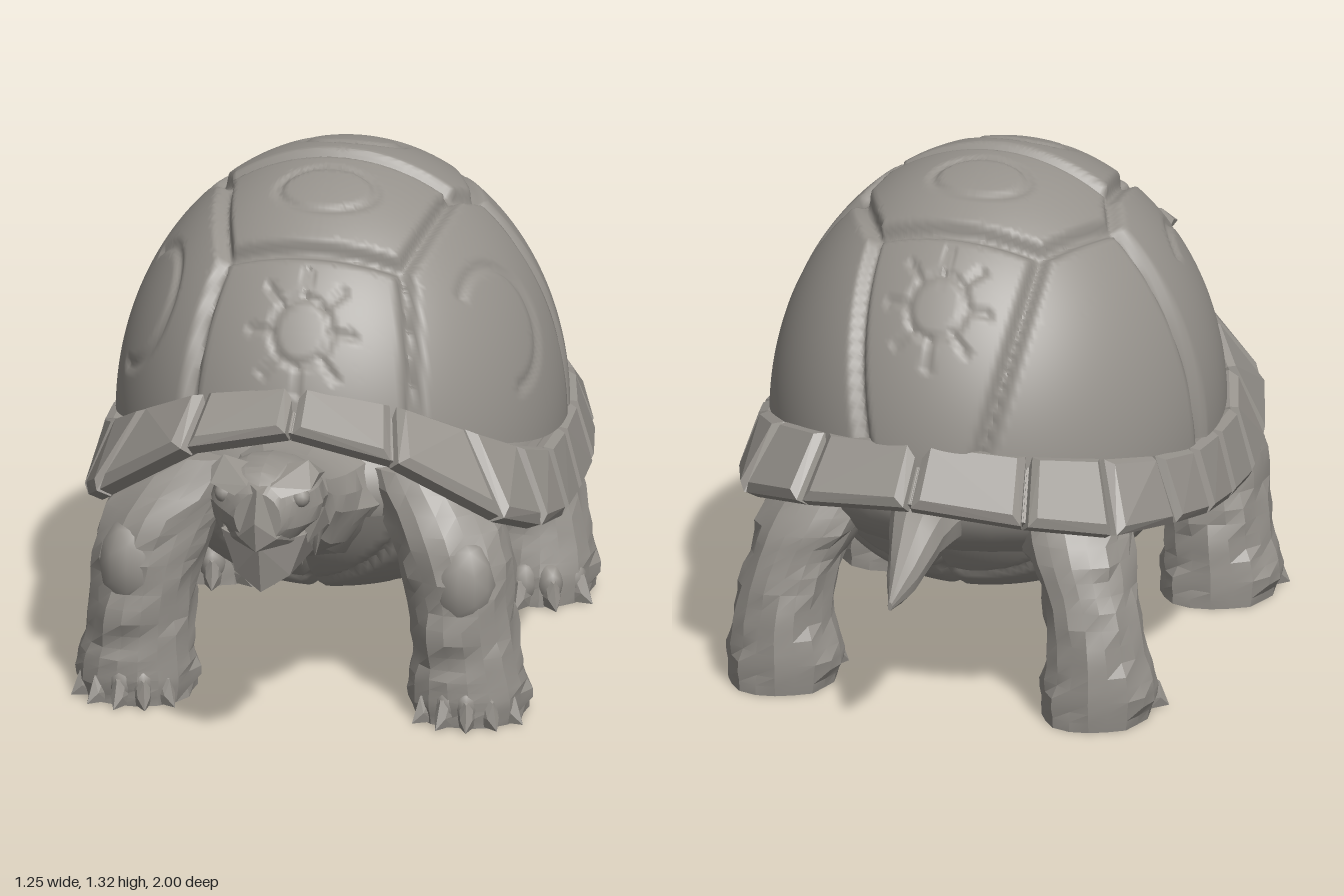
import * as THREE from 'three';
import { toCreasedNormals } from 'three/addons/utils/BufferGeometryUtils.js';
import { ConvexGeometry } from 'three/addons/geometries/ConvexGeometry.js';
import { ParametricGeometry } from 'three/addons/geometries/ParametricGeometry.js';

const stone = new THREE.MeshStandardMaterial({ color: 0x96928c });
stone.name = 'stone grey';
const V = (x, y, z) => new THREE.Vector3(x, y, z);
const { sin, cos, PI, abs, sqrt } = Math;
const smooth = THREE.MathUtils.smoothstep;
const hash = (a, b) => { const s = sin(a * 127.1 + b * 311.7) * 43758.5453; return s - Math.floor(s); };

export function createModel() {
  const model = new THREE.Group();
  model.name = 'tortoise';

  const add = (name, geometry, parent = model) => {
    const mesh = new THREE.Mesh(geometry, stone);
    mesh.name = name;
    parent.add(mesh);
    return mesh;
  };
  const group = (name, parent = model) => {
    const g = new THREE.Group();
    g.name = name;
    parent.add(g);
    return g;
  };
  const surface = (f, nu, nv) => toCreasedNormals(new ParametricGeometry(f, nu, nv), 1.3);
  const convex = (name, pts, parent) => add(name, new ConvexGeometry(pts.map(p => V(...p))), parent);
  // Adds the mirrored twin of every point that is off the centre line
  const bothSides = pts => pts.flatMap(([x, y, z]) => x ? [[x, y, z], [-x, y, z]] : [[x, y, z]]);

  // Rough tube through sections [x, y, z, r1, r2], listed in ascending order along the axis
  const loft = (sections, axis, rough = 0.06, n = 18) => {
    const mid = new THREE.CatmullRomCurve3(sections.map(s => V(s[0], s[1], s[2])));
    const rad = new THREE.CatmullRomCurve3(sections.map(s => V(s[3], s[4], 0)));
    const rows = (sections.length - 1) * 3, pos = [], idx = [];
    for (let i = 0; i <= rows; i++) {
      const c = mid.getPoint(i / rows), r = rad.getPoint(i / rows);
      for (let j = 0; j < n; j++) {
        const a = j / n * 2 * PI;
        const k = 1 + rough * (hash(j, Math.floor(i / 2)) + hash(i, j) * 0.5 - 0.75);
        const p = r.x * k * cos(a), q = r.y * k * sin(a);
        if (axis === 'y') pos.push(c.x + p, c.y, c.z + q);
        else pos.push(c.x + p, c.y + q, c.z);
      }
    }
    const tri = (a, b, c) => axis === 'y' ? idx.push(a, c, b) : idx.push(a, b, c);
    for (let i = 0; i < rows; i++) for (let j = 0; j < n; j++) {
      const a = i * n + j, b = i * n + (j + 1) % n;
      tri(a, b, a + n);
      tri(b, b + n, a + n);
    }
    const first = sections[0], last = sections[sections.length - 1], e = pos.length / 3;
    pos.push(first[0], first[1], first[2], last[0], last[1], last[2]);
    for (let j = 0; j < n; j++) {
      const k = (j + 1) % n;
      tri(e, k, j);
      tri(e + 1, rows * n + j, rows * n + k);
    }
    const g = new THREE.BufferGeometry();
    g.setAttribute('position', new THREE.Float32BufferAttribute(pos, 3));
    g.setIndex(idx);
    return toCreasedNormals(g, 0.3);
  };

  // Domed shell: an ellipsoid divided into eight scutes by grooves, with shallow carvings
  const aim = (azimuth, up) => V(cos(up) * sin(azimuth), sin(up), cos(up) * cos(azimuth));
  const scutes = [
    { c: aim(0, 0.59), mark: 'sun' }, { c: aim(0, 1.255), mark: 'ring' },
    { c: aim(PI, 1.35), mark: 'ring' }, { c: aim(PI, 0.7), mark: 'sun' },
    ...[1, -1].flatMap(s => [{ c: aim(s * 1.15, 0.49), mark: 'crescent' }, { c: aim(s * 2.29, 0.42), mark: 'none' }]),
  ];
  const relief = d => {
    const near = scutes.map(s => ({ ...s, dot: s.c.dot(d) })).sort((a, b) => b.dot - a.dot);
    const [s, t] = near;
    const edge = (s.dot - t.dot) / s.c.distanceTo(t.c);
    let h = 0.008 - 0.05 * (1 - smooth(edge, 0, 0.055));
    const side = V(0, 1, 0).cross(s.c).normalize(), up = s.c.clone().cross(side);
    const x = d.dot(side), y = d.dot(up), r = sqrt(x * x + y * y), a = Math.atan2(y, x);
    const line = (v, w) => 1 - smooth(abs(v), 0, w);
    if (s.mark === 'sun') {
      h -= 0.012 * line(r - 0.13, 0.03);
      if (r > 0.13 && r < 0.25) h -= 0.012 * smooth(abs(cos(a * 4)), 0.9, 1);
    }
    if (s.mark === 'ring') h -= 0.012 * line(sqrt(x * x * 0.6 + y * y * 1.6) - 0.17, 0.03);
    if (s.mark === 'crescent' && a > -1.6 && a < 2.4) h -= 0.016 * line(r - 0.24, 0.035);
    return h;
  };
  const lowEdge = az => cos(az) ** 2 * (cos(az) > 0 ? 0.26 : 0.09);
  const onDome = (p, d, k) => p.set(0.57 * d.x * k, 0.62 + 0.69 * d.y * k, -0.13 + 0.64 * d.z * k);
  add('shellDome', surface((u, v, p) => {
    const d = aim(u * 2 * PI, PI / 2 - (1 - v) * (PI / 2 - lowEdge(u * 2 * PI)));
    onDome(p, d, 1 + relief(d));
  }, 264, 90));
  // Floor that closes the dome behind the rim
  add('shellUnderside', surface((u, v, p) => {
    onDome(p, aim(u * 2 * PI, lowEdge(u * 2 * PI)), 1.02);
    p.x *= 0.5 + 0.5 * v;
    p.z *= 0.5 + 0.5 * v;
  }, 64, 2));

  // Rim plates between stations: outer edge point, then inner edge point
  const stations = [
    [[0, 0.78, 0.56], [0, 0.86, 0.45]], [[0.27, 0.72, 0.555], [0.24, 0.82, 0.42]],
    [[0.52, 0.54, 0.42], [0.4, 0.74, 0.33]], [[0.58, 0.46, 0.23], [0.5, 0.66, 0.2]],
    [[0.6, 0.43, 0.06], [0.55, 0.61, 0.06]], [[0.6, 0.43, -0.1], [0.555, 0.61, -0.1]],
    [[0.6, 0.45, -0.27], [0.55, 0.62, -0.27]], [[0.57, 0.48, -0.44], [0.51, 0.65, -0.43]],
    [[0.49, 0.52, -0.68], [0.42, 0.68, -0.57]], [[0.3, 0.57, -0.82], [0.27, 0.71, -0.69]],
    [[0, 0.6, -0.86], [0, 0.73, -0.74]],
  ];
  const rim = group('shellRim');
  for (const s of [1, -1]) for (let i = 0; i < stations.length - 1; i++) {
    const [a, ai, b, bi] = [...stations[i], ...stations[i + 1]].map(p => V(p[0] * s, p[1], p[2]));
    const n = b.clone().sub(a).cross(ai.clone().sub(a)).normalize();
    if (n.dot(V(a.x + b.x, 0.4, a.z + b.z + 0.26)) < 0) n.negate();
    const layer = (u0, u1, v0, v1, h) => [[u0, v0], [u1, v0], [u0, v1], [u1, v1]].map(([u, v]) =>
      a.clone().lerp(b, u).lerp(ai.clone().lerp(bi, u), v).addScaledVector(n, h).toArray());
    convex('rimPlate', [...layer(0.03, 0.97, 0.03, 1, -0.03), ...layer(0.03, 0.97, 0, 1, 0.008),
      ...layer(0.1, 0.9, 0.1, 0.92, 0.028)], rim);
    convex('rimBacking', [...layer(0, 1, 0.1, 1.02, -0.04), ...layer(0, 1, 0.1, 1.02, -0.012)], rim);
  }

  // Body inside the shell and the plated belly
  const body = new THREE.SphereGeometry(1, 40, 24);
  body.scale(0.54, 0.28, 0.58).translate(0, 0.56, -0.14);
  add('body', body);
  add('bellyPlates', surface((u, v, p) => {
    const az = u * 2 * PI, x = 0.5 * v * sin(az), z = -0.12 + 0.57 * v * cos(az);
    const rows = [0.27, 0.08, -0.14, -0.36, -0.56].map(r => abs(z - r - 0.25 * abs(x)));
    const gap = Math.min(abs(x), ...rows);
    p.set(x, 0.22 + 0.3 * v ** 4 + 0.022 * (1 - smooth(gap, 0.003, 0.02)), z);
  }, 144, 70));

  // Neck and tail
  add('neck', loft([[0, 0.55, 0.28, 0.25, 0.18], [0, 0.55, 0.42, 0.18, 0.145], [0, 0.58, 0.56, 0.135, 0.13],
    [0, 0.635, 0.67, 0.12, 0.122], [0, 0.685, 0.78, 0.125, 0.11]], 'z', 0.12));
  add('tail', loft([[0, 0.385, -1, 0.006, 0.012], [0, 0.43, -0.9, 0.04, 0.055],
    [0, 0.505, -0.78, 0.075, 0.075], [0, 0.55, -0.58, 0.13, 0.1]], 'z', 0.1, 10));

  // Head with hooked beak, heavy brows and a ragged chin
  const head = group('head');
  add('skull', loft([[0, 0.67, 0.66, 0.1, 0.09], [0, 0.695, 0.75, 0.138, 0.108], [0, 0.705, 0.84, 0.145, 0.11],
    [0, 0.7, 0.91, 0.11, 0.1], [0, 0.69, 0.96, 0.06, 0.07]], 'z', 0.05, 16), head);
  convex('upperBeak', bothSides([[0.1, 0.67, 0.89], [0.055, 0.78, 0.89], [0, 0.77, 0.97], [0, 0.69, 1],
    [0, 0.61, 0.985], [0.05, 0.64, 0.96], [0.09, 0.61, 0.88]]), head);
  convex('lowerJaw', bothSides([[0.125, 0.65, 0.72], [0.11, 0.63, 0.88], [0.07, 0.52, 0.89], [0, 0.48, 0.92],
    [0, 0.61, 0.95], [0.1, 0.54, 0.74]]), head);
  for (const s of [1, -1]) {
    convex('brow', [[0.03, 0.775, 0.95], [0.03, 0.8, 0.85], [0.11, 0.82, 0.85], [0.14, 0.79, 0.86],
      [0.13, 0.765, 0.92], [0.06, 0.75, 0.96], [0.14, 0.77, 0.79]].map(p => [p[0] * s, p[1], p[2]]), head);
    const eye = add('eye', new THREE.SphereGeometry(0.026, 12, 8), head);
    eye.position.set(s * 0.098, 0.735, 0.9);
    convex('cheek', [[0.1, 0.7, 0.9], [0.148, 0.69, 0.83], [0.15, 0.63, 0.78], [0.11, 0.6, 0.86],
      [0.09, 0.66, 0.78]].map(p => [p[0] * s, p[1], p[2]]), head);
    for (let i = 0; i < 4; i++) {
      const tuft = add('chinSpike', new THREE.ConeGeometry(0.03, 0.1, 5), head);
      tuft.position.set(s * (0.03 + 0.026 * i), 0.54 + 0.012 * i, 0.89 - 0.045 * i);
      tuft.rotation.x = PI;
    }
  }

  // Legs, each with a ring of clawed toes
  const legs = [
    { name: 'frontLeg', x: 0.43, z: 0.36, toes: 5, plate: [0.43, 0.37, 0.45], path: [
      [0.43, 0, 0.355, 0.15, 0.15], [0.43, 0.07, 0.36, 0.155, 0.155], [0.425, 0.15, 0.365, 0.142, 0.15],
      [0.415, 0.26, 0.37, 0.135, 0.15], [0.4, 0.38, 0.365, 0.14, 0.148], [0.36, 0.5, 0.34, 0.15, 0.14],
      [0.27, 0.64, 0.28, 0.14, 0.13]] },
    { name: 'hindLeg', x: 0.42, z: -0.58, toes: 4, path: [
      [0.42, 0, -0.59, 0.14, 0.15], [0.42, 0.08, -0.595, 0.148, 0.152], [0.42, 0.18, -0.6, 0.13, 0.135],
      [0.4, 0.31, -0.59, 0.12, 0.125], [0.36, 0.42, -0.55, 0.135, 0.14], [0.3, 0.56, -0.47, 0.15, 0.15]] },
  ];
  for (const { name, x, z, toes, plate, path } of legs) for (const s of [1, -1]) {
    const leg = group((s > 0 ? 'left ' : 'right ') + name);
    add('limb', loft(path.map(([px, ...rest]) => [px * s, ...rest]), 'y', 0.11), leg);
    if (plate) {
      const scale = add('armScale', new THREE.IcosahedronGeometry(1, 1), leg);
      scale.scale.set(0.085, 0.12, 0.075);
      scale.position.set(plate[0] * s, plate[1], plate[2]);
    }
    for (let i = 0; i < toes; i++) {
      const a = (-0.75 + 1.8 * i / (toes - 1)) * s;
      const foot = group('toe', leg);
      foot.position.set(x * s + sin(a) * 0.105, 0, z + cos(a) * 0.12);
      foot.rotation.y = a;
      const knuckle = add('knuckle', new THREE.IcosahedronGeometry(1, 1), foot);
      knuckle.scale.set(0.036, 0.055, 0.045);
      knuckle.position.set(0, 0.06, 0);
      convex('claw', bothSides([[0.024, 0.03, 0.02], [0.018, 0.085, 0.02], [0, 0.07, 0.05],
        [0.016, 0.03, 0.05], [0, 0.003, 0.075], [0.02, 0.003, 0.02]]), foot);
    }
  }
  return model;
}
